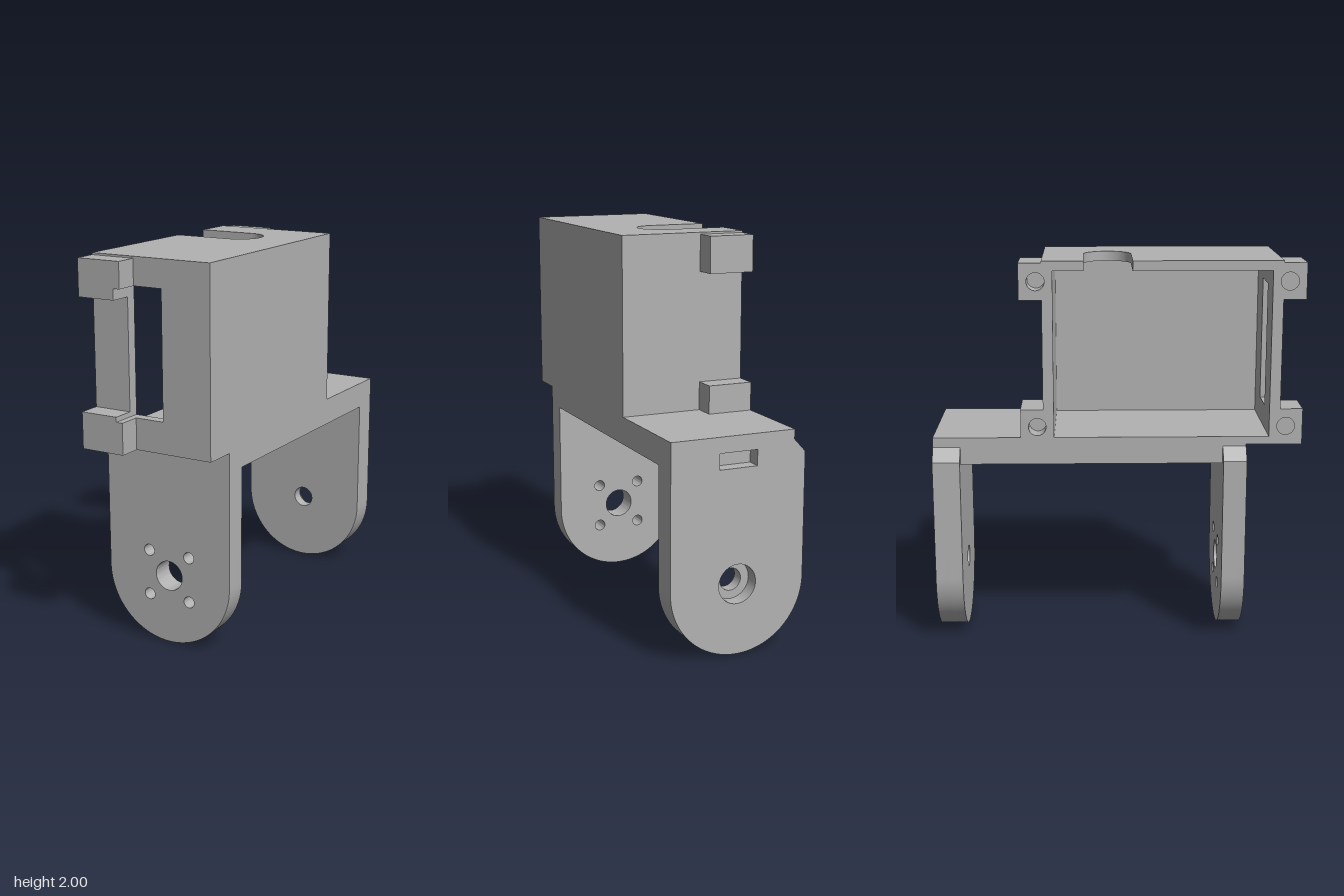
import * as THREE from 'three';
import { toCreasedNormals } from 'three/addons/utils/BufferGeometryUtils.js';

export function createModel() {
  const model = new THREE.Group();
  model.name = 'servoBracket';
  const grey = new THREE.MeshStandardMaterial({ color: 0xb2b2b2 });
  grey.name = 'grey plastic';

  const add = (name, geometry) => {
    const mesh = new THREE.Mesh(geometry, grey);
    mesh.name = name;
    model.add(mesh);
    return mesh;
  };
  const box = (name, x0, x1, y0, y1, z0, z1) =>
    add(name, new THREE.BoxGeometry(x1 - x0, y1 - y0, z1 - z0)
      .translate((x0 + x1) / 2, (y0 + y1) / 2, (z0 + z1) / 2));
  const polygon = (points) => new THREE.Shape(points.map(([x, y]) => new THREE.Vector2(x, y)));
  const circle = (x, y, r) => new THREE.Path().absarc(x, y, r, 0, Math.PI * 2, true);
  const extrude = (shape, depth) =>
    new THREE.ExtrudeGeometry(shape, { depth, bevelEnabled: false, curveSegments: 32 });
  const smooth = (geometry) => toCreasedNormals(geometry, 0.5);

  // Main extents
  const left = 0.355, right = -0.3, top = 2, roofY = 1.95, floorY = 1.1;
  const front = 0.83, back = -0.38, wall = 0.055;

  // Legs: rounded plates with a chamfered shoulder, extruded along z
  const leg = (name, z0, z1, holes) => {
    const s = new THREE.Shape();
    s.moveTo(left, floorY);
    s.lineTo(right, floorY);
    s.lineTo(right, 1.05);
    s.lineTo(-0.36, 0.985);
    s.lineTo(-0.36, 0.358);
    s.absarc(-0.0025, 0.358, 0.3575, Math.PI, Math.PI * 2, false);
    s.lineTo(left, floorY);
    s.holes.push(...holes);
    add(name, smooth(extrude(s, z1 - z0).translate(0, 0, z0)));
  };
  const screwHoles = [];
  for (const x of [-0.118, 0.118])
    for (const y of [0.24, 0.478]) screwHoles.push(circle(x, y, 0.03));
  leg('frontLeg', 0.54, 0.66, [circle(0, 0.36, 0.078), ...screwHoles]);

  // Back leg in two layers, so the counterbore and the slot are recessed
  const slot = new THREE.Path([[-0.1, 0.94], [-0.1, 1.02], [0.1, 1.02], [0.1, 0.94]]
    .map(([x, y]) => new THREE.Vector2(x, y)));
  leg('backLegInner', -0.87, -0.805, [circle(0, 0.36, 0.057)]);
  leg('backLegOuter', -0.945, -0.87, [circle(0, 0.36, 0.1), slot]);

  // Floor and its front lip
  box('floor', right, left, 0.96, floorY, -0.805, 0.54);
  box('floorLip', right, left, 1.06, floorY, 0.66, front - wall);

  // Roof with a round-ended cable slot open to the right
  const roof = new THREE.Shape();
  roof.moveTo(right, -front);
  roof.lineTo(left, -front);
  roof.lineTo(left, -back);
  roof.lineTo(right, -back);
  roof.lineTo(right, 0.17);
  roof.lineTo(0, 0.17);
  roof.absarc(0, 0.0475, 0.1225, Math.PI / 2, -Math.PI / 2, true);
  roof.lineTo(right, -0.075);
  add('roof', smooth(extrude(roof, top - roofY).rotateX(-Math.PI / 2).translate(0, roofY, 0)));

  // Side wall; the opposite side stays open
  box('sideWall', 0.3, left, floorY, roofY, back + wall, front - wall);

  // Wall edge with two mounting tabs and blind screw holes, extruded along x
  const tabbedPost = (name, sign, z, y0) => {
    const u = (d) => -(z + sign * d);
    const outline = [
      [u(-wall), y0], [u(0.115), y0], [u(0.115), 1.245], [u(0), 1.245], [u(0), 1.805],
      [u(0.115), 1.805], [u(0.115), 1.99], [u(0), 1.99], [u(0), roofY], [u(-wall), roofY],
    ];
    const drilled = polygon(outline);
    for (const y of [1.155, 1.8975]) drilled.holes.push(circle(u(0.03), y, 0.045));
    const place = (g, x) => smooth(g.rotateY(Math.PI / 2).translate(x, 0, 0));
    add(name + 'Drilled', place(extrude(drilled, 0.1), right));
    add(name + 'Solid', place(extrude(polygon(outline), 0.1), right + 0.1));
  };
  tabbedPost('frontPost', 1, front, 1.06);
  tabbedPost('backPost', -1, back, floorY);

  // Front wall around the window
  const f0 = front - wall;
  box('frontWall', 0.09, left, 1.06, roofY, f0, front);
  box('windowHead', -0.1, 0.09, 1.86, roofY, f0, front);
  box('windowSill', -0.1, 0.09, 1.06, 1.22, f0, front);

  // Back wall
  box('backWall', -0.1, left, floorY, roofY, back, back + wall);

  // Inner ends of the tabs, notched at the front by the window
  box('frontUpperTabEnd', -0.1, -0.065, 1.86, 1.99, front, 0.945);
  box('frontLowerTabEnd', -0.1, -0.065, 1.06, 1.22, front, 0.945);
  box('backUpperTabEnd', -0.1, -0.065, 1.805, 1.99, back - 0.115, back);
  box('backLowerTabEnd', -0.1, -0.065, floorY, 1.245, back - 0.115, back);

  return model;
}
